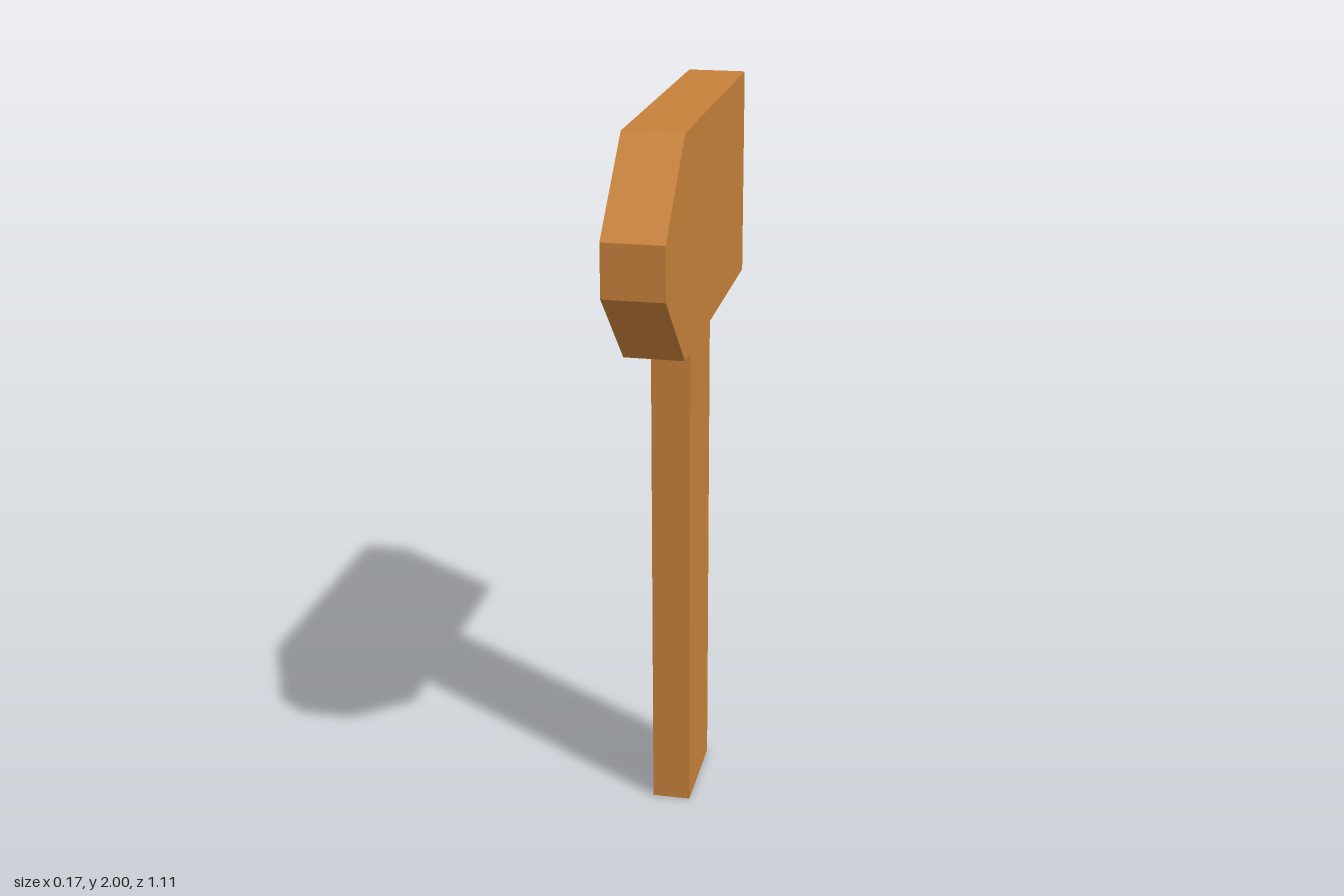
import * as THREE from 'three';

export function createModel() {
  const wood = new THREE.MeshStandardMaterial({ color: 0xc6813a, side: THREE.DoubleSide });
  wood.name = 'warm wood';

  const model = new THREE.Group();
  model.name = 'hammer';

  // Head: side profile (z, y) with a tapered front, extruded across the width
  const headWidth = 0.16;
  const profile = [[-0.555, 1.42], [0.32, 1.42], [0.557, 1.642], [0.557, 1.782], [0.32, 2], [-0.555, 2]];
  const shape = new THREE.Shape(profile.map(([z, y]) => new THREE.Vector2(z, y)));
  const headGeometry = new THREE.ExtrudeGeometry(shape, { depth: headWidth, bevelEnabled: false });
  headGeometry.translate(0, 0, -headWidth / 2).rotateY(-Math.PI / 2);
  const head = new THREE.Mesh(headGeometry, wood);
  head.name = 'head';

  // Handle: rectangular sleeve, open at both ends
  const handleGeometry = new THREE.BoxGeometry(0.107, 1.42, 0.285);
  const index = Array.from(handleGeometry.index.array);
  index.splice(12, 12); // drop the top and bottom faces
  handleGeometry.setIndex(index);
  handleGeometry.clearGroups();
  const handle = new THREE.Mesh(handleGeometry, wood);
  handle.name = 'handle';
  handle.position.set(-0.003, 0.71, -0.047);

  // The whole hammer is turned very slightly about its upright axis
  const body = new THREE.Group();
  body.name = 'hammerBody';
  body.rotation.y = -0.013;
  body.add(head, handle);
  model.add(body);
  return model;
}
